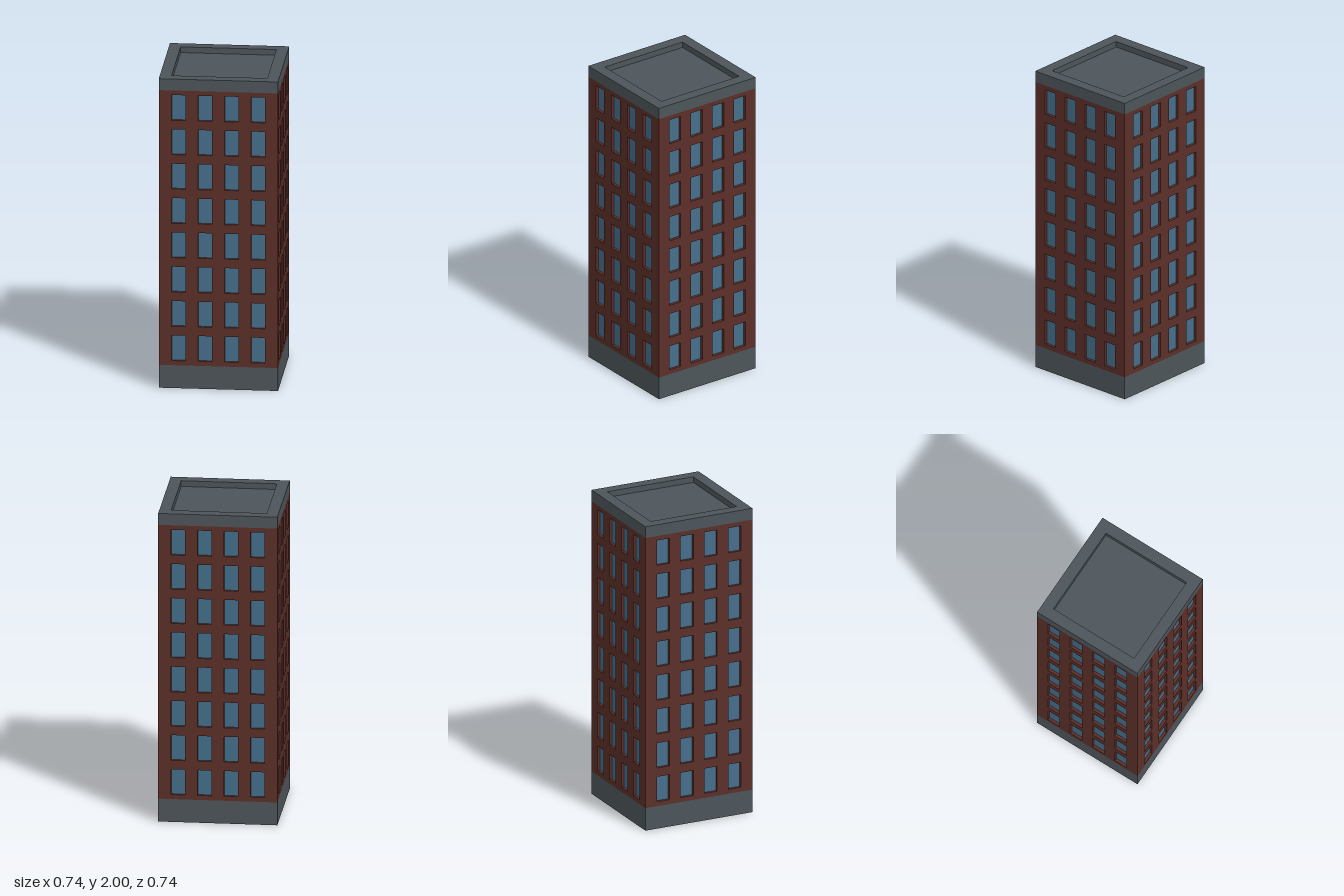
import * as THREE from 'three';
import { mergeGeometries } from 'three/addons/utils/BufferGeometryUtils.js';

const HALF = 0.37, BASE_TOP = 0.148, CAP_BOTTOM = 1.926, TOP = 2;
const FLOORS = 8, COLUMNS = 4, STOREY = (CAP_BOTTOM - BASE_TOP) / FLOORS;
const WIN_W = 0.087, WIN_H = 0.164, WIN_GAP = 0.1645, RECESS = 0.018;

const material = (color) => new THREE.MeshStandardMaterial({ color, side: THREE.DoubleSide });

function mesh(name, geometry, mat) {
  const m = new THREE.Mesh(geometry, mat);
  m.name = name;
  return m;
}

// Square shell: a profile of [half width, height] turned around four sides
function squareShell(profile) {
  const points = profile.map(([r, y]) => new THREE.Vector2(r * Math.SQRT2, y));
  const g = new THREE.LatheGeometry(points, 4, Math.PI / 4).toNonIndexed();
  g.computeVertexNormals();
  return g;
}

// Centres of the windows on one facade
function windowCentres() {
  const list = [];
  for (let f = 0; f < FLOORS; f++) {
    for (let c = 0; c < COLUMNS; c++) {
      list.push([(c - (COLUMNS - 1) / 2) * WIN_GAP, BASE_TOP + (f + 0.5) * STOREY]);
    }
  }
  return list;
}

// Four faces lining a window opening, from the wall plane to the pane
function reveal(x, y) {
  const side = (s) => new THREE.PlaneGeometry(RECESS, WIN_H)
    .rotateY(-s * Math.PI / 2).translate(x + s * WIN_W / 2, y, HALF - RECESS / 2);
  const sill = (s) => new THREE.PlaneGeometry(WIN_W, RECESS)
    .rotateX(s * Math.PI / 2).translate(x, y + s * WIN_H / 2, HALF - RECESS / 2);
  return [side(-1), side(1), sill(-1), sill(1)];
}

function rectangle(path, x0, y0, x1, y1) {
  return path.moveTo(x0, y0).lineTo(x1, y0).lineTo(x1, y1).lineTo(x0, y1).closePath();
}

export function createModel() {
  const model = new THREE.Group();
  model.name = 'towerBlock';
  const brick = material(0x5c2f29), stone = material(0x4d555a), glass = material(0x456f8b);

  // Plinth, open underneath
  model.add(mesh('plinth', squareShell([[HALF, 0], [HALF, BASE_TOP]]), stone));

  // Parapet with the sunken flat roof
  model.add(mesh('parapetAndRoof', squareShell([
    [HALF, CAP_BOTTOM], [HALF, TOP], [0.297, TOP], [0.297, 1.963], [0, 1.963],
  ]), stone));

  // Brick wall pierced by windows, shared by all four sides
  const centres = windowCentres();
  const outline = rectangle(new THREE.Shape(), -HALF, BASE_TOP, HALF, CAP_BOTTOM);
  for (const [x, y] of centres) {
    outline.holes.push(rectangle(new THREE.Path(),
      x - WIN_W / 2, y - WIN_H / 2, x + WIN_W / 2, y + WIN_H / 2));
  }
  const wall = mergeGeometries([
    new THREE.ShapeGeometry(outline).translate(0, 0, HALF),
    ...centres.flatMap(([x, y]) => reveal(x, y)),
  ]);
  const panes = mergeGeometries(centres.map(([x, y]) =>
    new THREE.PlaneGeometry(WIN_W, WIN_H).translate(x, y, HALF - RECESS)));

  ['front', 'left', 'back', 'right'].forEach((name, i) => {
    const facade = new THREE.Group();
    facade.name = name + 'Facade';
    facade.rotation.y = i * Math.PI / 2;
    facade.add(mesh('brickWall', wall, brick), mesh('windowPanes', panes, glass));
    model.add(facade);
  });
  return model;
}
